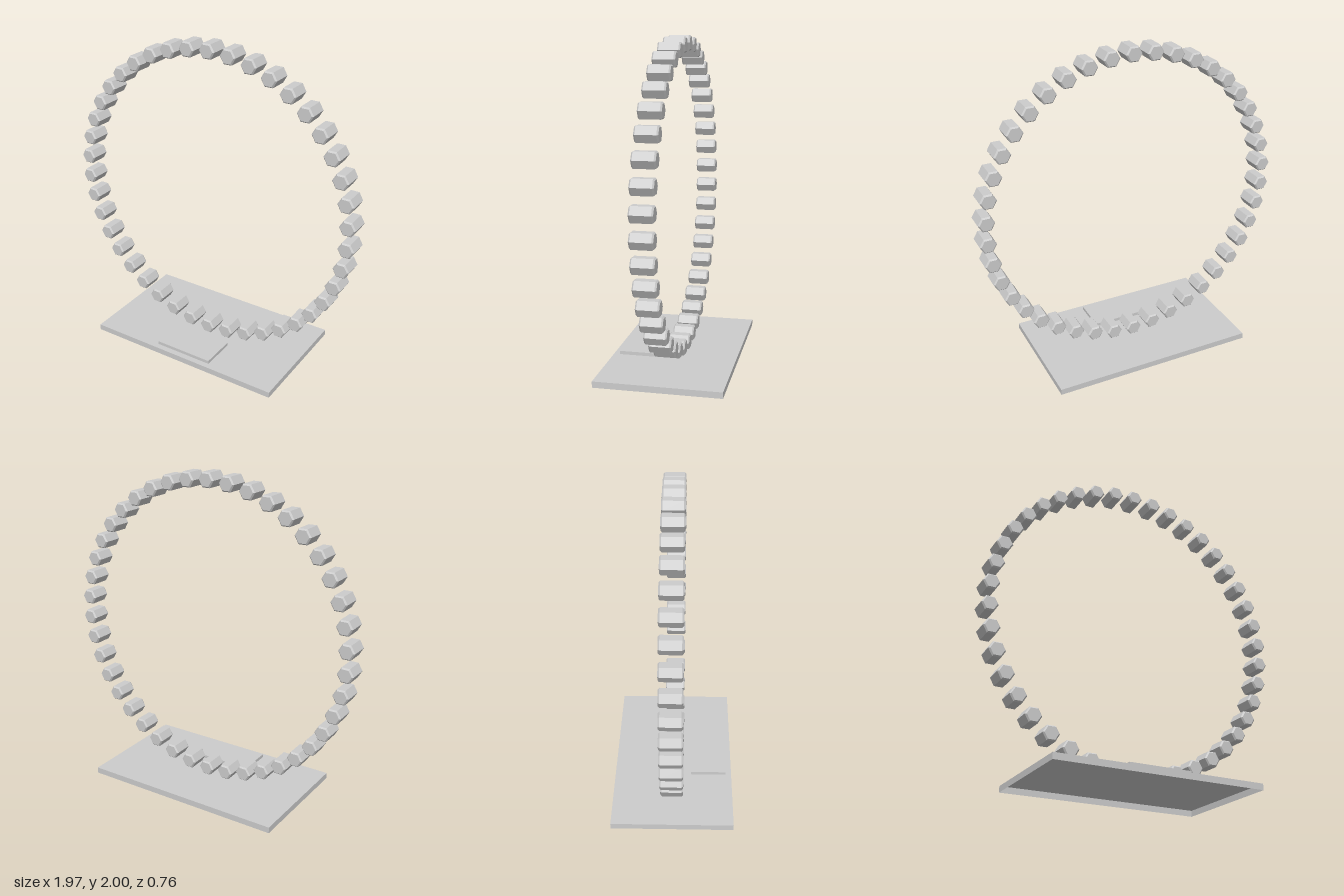
import * as THREE from 'three';

export function createModel() {
  const model = new THREE.Group();
  const grey = new THREE.MeshStandardMaterial({ color: 0xcccccc, flatShading: true, side: THREE.DoubleSide });
  grey.name = 'light grey';

  const add = (name, geometry, x, y, z, parent = model) => {
    const mesh = new THREE.Mesh(geometry, grey);
    mesh.name = name;
    mesh.position.set(x, y, z);
    parent.add(mesh);
    return mesh;
  };

  // Box without its underside (drops the -y face of the built-in index)
  const openBox = (w, h, d) => {
    const box = new THREE.BoxGeometry(w, h, d);
    const index = Array.from(box.index.array);
    index.splice(18, 6);
    box.setIndex(index);
    box.clearGroups();
    return box;
  };

  // Hollow base plate and the small raised plaque in front
  const baseHeight = 0.038;
  add('basePlate', openBox(1.3, baseHeight, 0.764), 0, baseHeight / 2, 0);
  add('plaque', openBox(0.386, 0.021, 0.228), 0, baseHeight + 0.0105, 0.231);

  // Six-sided bead with chamfered ends, flats facing up and down
  const r = 0.052, half = 0.067, bevel = 0.009;
  const profile = [
    [0, -half], [r - bevel, -half], [r, -half + bevel],
    [r, half - bevel], [r - bevel, half], [0, half],
  ].map(([x, y]) => new THREE.Vector2(x, y));
  const bead = new THREE.LatheGeometry(profile, 6, Math.PI / 6).rotateX(Math.PI / 2);

  // Upright ring of beads, all keeping the same orientation
  const ring = new THREE.Group();
  ring.name = 'beadRing';
  const count = 42, apothem = r * Math.cos(Math.PI / 6);
  const centreY = (2 + baseHeight + 0.002) / 2;
  const radius = 2 - centreY - apothem;
  for (let i = 0; i < count; i++) {
    const a = (i / count) * Math.PI * 2;
    add(`bead${i + 1}`, bead, radius * Math.sin(a), centreY + radius * Math.cos(a), 0, ring);
  }
  model.add(ring);
  return model;
}
